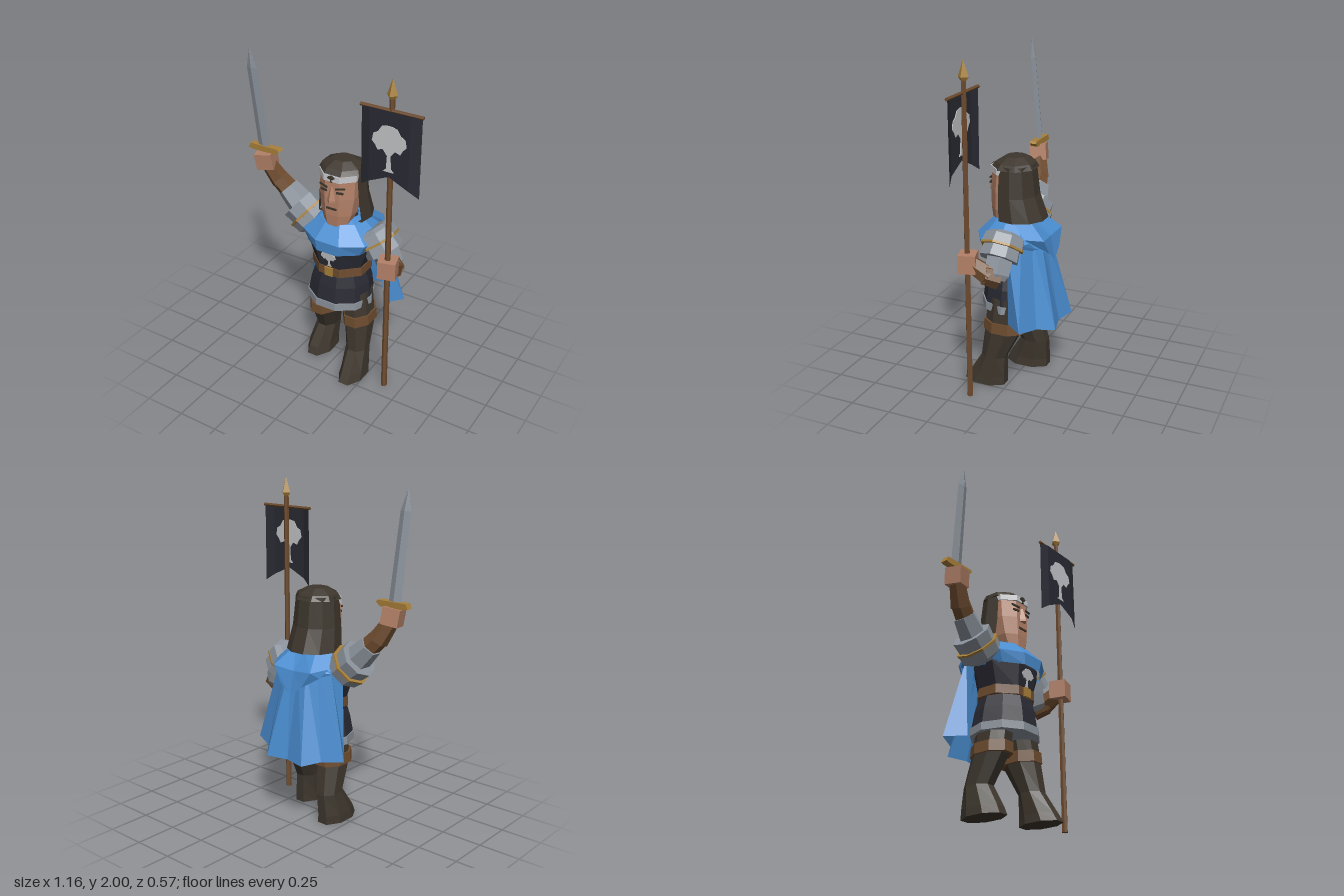
import * as THREE from 'three';

const mat = (name, color, side = THREE.FrontSide) => {
  const m = new THREE.MeshStandardMaterial({ color, side });
  m.name = name;
  return m;
};
const V = (x, y, z) => new THREE.Vector3(x, y, z);
const CX = 0.02; // body centre line

export function createModel() {
  const root = new THREE.Group();
  root.name = 'bannerKnight';
  const blue = mat('cloakBlue', 0x4a8dd0, THREE.DoubleSide);
  const navy = mat('tunicNavy', 0x2a2a34, THREE.DoubleSide);
  const dark = mat('darkBrown', 0x3d362d, THREE.DoubleSide);
  const leather = mat('leatherBrown', 0x6e4c2f);
  const skin = mat('skin', 0xb38168);
  const steel = mat('steelGrey', 0x8c939c);
  const white = mat('paleSilver', 0xc4c5c8);
  const gold = mat('gold', 0xa8803a);

  // Faceted mesh
  const add = (name, geo, material) => {
    const g = geo.index ? geo.toNonIndexed() : geo;
    g.computeVertexNormals();
    const m = new THREE.Mesh(g, material);
    m.name = name;
    root.add(m);
    return m;
  };
  // Grid of points, rows running bottom to top and columns counter-clockwise
  const grid = (rows) => {
    const n = rows[0].length, idx = [];
    for (let j = 0; j < rows.length - 1; j++)
      for (let i = 0; i < n - 1; i++) {
        const a = j * n + i, b = a + 1, d = a + n, c = d + 1;
        idx.push(a, b, d, c, d, b);
      }
    const g = new THREE.BufferGeometry().setFromPoints(rows.flat());
    g.setIndex(idx);
    return g;
  };
  // Stacked oval rings [x, y, z, radiusX, radiusZ], flat side facing the front
  const loft = (rings, n = 8, flat = true, cap = true) => {
    const k = flat ? 1 / Math.cos(Math.PI / n) : 1;
    const list = cap
      ? [[...rings[0].slice(0, 3), 0, 0], ...rings, [...rings[rings.length - 1].slice(0, 3), 0, 0]]
      : rings;
    return grid(list.map(([x, y, z, rx, rz]) => Array.from({ length: n + 1 }, (_, i) => {
      const a = (i + (flat ? 0.5 : 0)) * 2 * Math.PI / n;
      return V(x + rx * k * Math.sin(a), y, z + rz * k * Math.cos(a));
    })));
  };
  // Turned profile [distance, radius] laid along a direction
  const limb = (name, a, b, profile, material, sides = 8) => {
    const dir = b.clone().sub(a), len = dir.length();
    const pts = [[profile[0][0], 0], ...profile, [profile[profile.length - 1][0], 0]];
    const g = new THREE.LatheGeometry(pts.map(([t, r]) => new THREE.Vector2(r, t * len)), sides);
    const m = add(name, g, material);
    m.quaternion.setFromUnitVectors(V(0, 1, 0), dir.normalize());
    m.position.copy(a);
    return m;
  };
  const box = (name, w, h, d, x, y, z, material) => {
    const m = add(name, new THREE.BoxGeometry(w, h, d), material);
    m.position.set(x, y, z);
    return m;
  };
  // Tree emblem as a thin plate
  const tree = (name, w, h, x, y, z, material, depth = 0.008) => {
    const half = [[.16, 0], [.07, .07], [.05, .35], [.18, .48], [.33, .44], [.4, .54], [.5, .62],
      [.46, .78], [.33, .84], [.22, .97], [.06, 1]];
    const pts = [...half, ...half.map(([a, b]) => [-a, b]).reverse()];
    const s = new THREE.Shape(pts.map(([a, b]) => new THREE.Vector2(a * w, b * h)));
    const g = new THREE.ExtrudeGeometry(s, { depth, bevelEnabled: false });
    const m = add(name, g.translate(0, 0, -depth / 2), material);
    m.position.set(x, y, z);
    return m;
  };

  // Legs with boots and knee straps
  add('leftLeg', loft([[.175, 0, .15, .075, .13], [.175, .05, .135, .07, .115], [.17, .18, .095, .065, .075],
    [.15, .36, .04, .08, .11], [.12, .56, .03, .085, .11]]), dark);
  add('rightLeg', loft([[-.14, 0, .005, .08, .135], [-.14, .05, -.005, .075, .125], [-.125, .18, -.045, .065, .085],
    [-.1, .36, .02, .08, .11], [-.07, .56, .03, .085, .11]]), dark);
  add('leftKneeStrap', loft([[.148, .35, .035, .09, .125], [.145, .415, .035, .088, .122]]), leather);
  add('rightKneeStrap', loft([[-.1, .35, .025, .09, .125], [-.097, .415, .025, .088, .122]]), leather);

  // Tunic, hem and belt
  add('hem', loft([[.012, .475, .03, .2, .187], [.012, .522, .03, .198, .187]], 10), steel);
  add('skirt', loft([[.012, .52, .03, .192, .18], [.016, .62, .03, .178, .165], [.018, .7, .03, .155, .145]], 10), navy);
  add('torso', loft([[.018, .73, .03, .155, .145], [CX, .88, .03, .205, .165], [CX, 1, .02, .12, .1]]), navy);
  add('belt', loft([[.018, .695, .03, .17, .152], [.018, .75, .03, .168, .152]]), leather);
  box('buckle', .055, .055, .02, CX, .722, .183, gold);
  tree('chestEmblem', .1, .11, CX, .757, .18, white).rotation.x = .14;

  // Cloak collar, folded hood and cape
  add('collar', loft([[.025, .87, .02, .205, .2], [.03, .94, .02, .245, .205], [CX, 1.03, .02, .14, .12],
    [CX, 1.05, .02, .09, .08]], 10, true, false), blue);
  const mirrored = (half) => [...half.slice(1).reverse().map(([x, y, z]) => V(CX - x, y, z)),
    ...half.map(([x, y, z]) => V(CX + x, y, z))].reverse();
  add('hood', grid([
    mirrored([[0, .8, -.23], [.08, .86, -.225], [.17, .92, -.17]]),
    mirrored([[0, .94, -.2], [.14, .955, -.215], [.2, .97, -.12]]),
    mirrored([[0, 1.05, -.1], [.08, 1.06, -.09], [.15, 1.05, -.03]])]), blue);
  add('cape', grid([
    mirrored([[0, .41, -.26], [.135, .41, -.29], [.21, .43, -.2], [.335, .445, -.145], [.25, .45, -.04]]),
    mirrored([[0, .96, -.16], [.06, .97, -.16], [.12, .97, -.13], [.2, .95, -.1], [.22, .92, -.02]])]), blue);

  // Head and face
  add('head', loft([[CX, .97, .04, .07, .06], [.022, 1.02, .085, .075, .065], [.022, 1.09, .07, .1, .085],
    [.022, 1.2, .055, .115, .1], [.022, 1.34, .045, .115, .1]]), skin);
  limb('nose', V(.022, 1.18, .158), V(.022, 1.27, .152), [[0, .026], [.15, .026], [1, .008]], skin, 4);
  box('mouth', .065, .012, .008, .022, 1.135, .156, dark);
  for (const s of [-1, 1]) {
    box('eye', .042, .012, .008, .022 + s * .052, 1.245, .152, dark).rotation.y = s * .2;
    const brow = box('eyebrow', .058, .01, .008, .022 + s * .055, 1.272, .152, dark);
    brow.rotation.set(0, s * .25, s * .15);
  }
  add('headband', loft([[.022, 1.308, .04, .122, .118], [.022, 1.343, .04, .122, .116]]), white);
  tree('headbandEmblem', .045, .04, .022, 1.306, .16, dark);

  // Hair
  add('hairTop', loft([[.022, 1.338, .022, .132, .128], [.022, 1.37, .018, .118, .105],
    [.022, 1.402, .018, .06, .055]]), dark);
  const hairRow = (y, rx, rz, cz) => Array.from({ length: 8 }, (_, i) => {
    const a = 1.1 + i / 7 * (2 * Math.PI - 2.2);
    return V(.022 + rx * Math.sin(a), y, cz + rz * Math.cos(a));
  });
  add('hairBack', grid([hairRow(1.04, .135, .12, .01), hairRow(1.04, .163, .165, -.01),
    hairRow(1.18, .148, .135, .012), hairRow(1.36, .132, .12, .018)]), dark);

  // Armoured shoulders: plate, gold rim, lower plate
  const shoulder = (side, a, b) => {
    limb(side + 'Pauldron', a, b, [[0, .085], [.15, .12], [.52, .128]], steel);
    limb(side + 'PauldronRim', a, b, [[.5, .131], [.58, .131]], gold);
    limb(side + 'LowerPlate', a, b, [[.56, .112], [1, .118]], steel);
  };
  // Raised right arm
  shoulder('right', V(-.16, .92, .02), V(-.285, 1.025, .025));
  limb('rightUpperArm', V(-.24, .99, .025), V(-.36, 1.11, .035), [[0, .09], [1, .068]], steel, 6);
  limb('rightElbow', V(-.31, 1.06, .03), V(-.41, 1.165, .05), [[0, .064], [1, .058]], leather, 6);
  limb('rightForearm', V(-.4, 1.145, .045), V(-.465, 1.26, .075), [[0, .06], [1, .048]], leather, 6);
  box('rightHand', .105, .1, .1, -.475, 1.29, .08, skin).rotation.set(.1, .25, .12);

  // Bent left arm
  shoulder('left', V(.2, .985, 0), V(.295, .86, .005));
  limb('leftUpperArm', V(.27, .9, 0), V(.345, .755, .005), [[0, .085], [.8, .082], [1, .06]], steel, 6);
  limb('leftElbow', V(.335, .77, -.01), V(.385, .8, .06), [[0, .07], [1, .06]], leather, 6);
  limb('leftForearm', V(.37, .785, .03), V(.39, .85, .13), [[0, .062], [1, .05]], leather, 6);
  box('leftHand', .105, .11, .1, .393, .86, .15, skin).rotation.y = .28;

  // Sword
  add('swordBlade', loft([[-.485, 1.36, .08, .042, .017], [-.505, 1.87, .135, .035, .014],
    [-.51, 1.985, .147, .001, .001]], 4, false), steel);
  const guard = new THREE.Shape([[-.08, -.018], [.08, -.018], [.108, .005], [.095, .018], [-.095, .018], [-.108, -.012]]
    .map(([x, y]) => new THREE.Vector2(x, y)));
  const guardMesh = add('swordGuard',
    new THREE.ExtrudeGeometry(guard, { depth: .042, bevelEnabled: false }).translate(0, 0, -.021), gold);
  guardMesh.position.set(-.478, 1.358, .08);

  // Banner pole, crossbar, spearhead and flag
  limb('bannerPole', V(.392, 0, .155), V(.392, 1.92, .155), [[0, .018], [1, .015]], leather, 6);
  limb('crossbar', V(.207, 1.825, .16), V(.577, 1.825, .16), [[0, .01], [1, .01]], leather, 6);
  limb('spearhead', V(.392, 1.89, .155), V(.392, 2, .155), [[0, .018], [.18, .032], [1, .001]], gold, 4);
  const flagCols = [[.215, 1.355, .158], [.272, 1.395, .176], [.392, 1.45, .176], [.512, 1.395, .176], [.57, 1.355, .158]];
  add('flag', grid([flagCols.map(([x, y, z]) => V(x, y, z)), flagCols.map(([x, , z]) => V(x, 1.825, z))]), navy);
  tree('flagEmblem', .205, .265, .392, 1.48, .176, white);

  return root;
}
